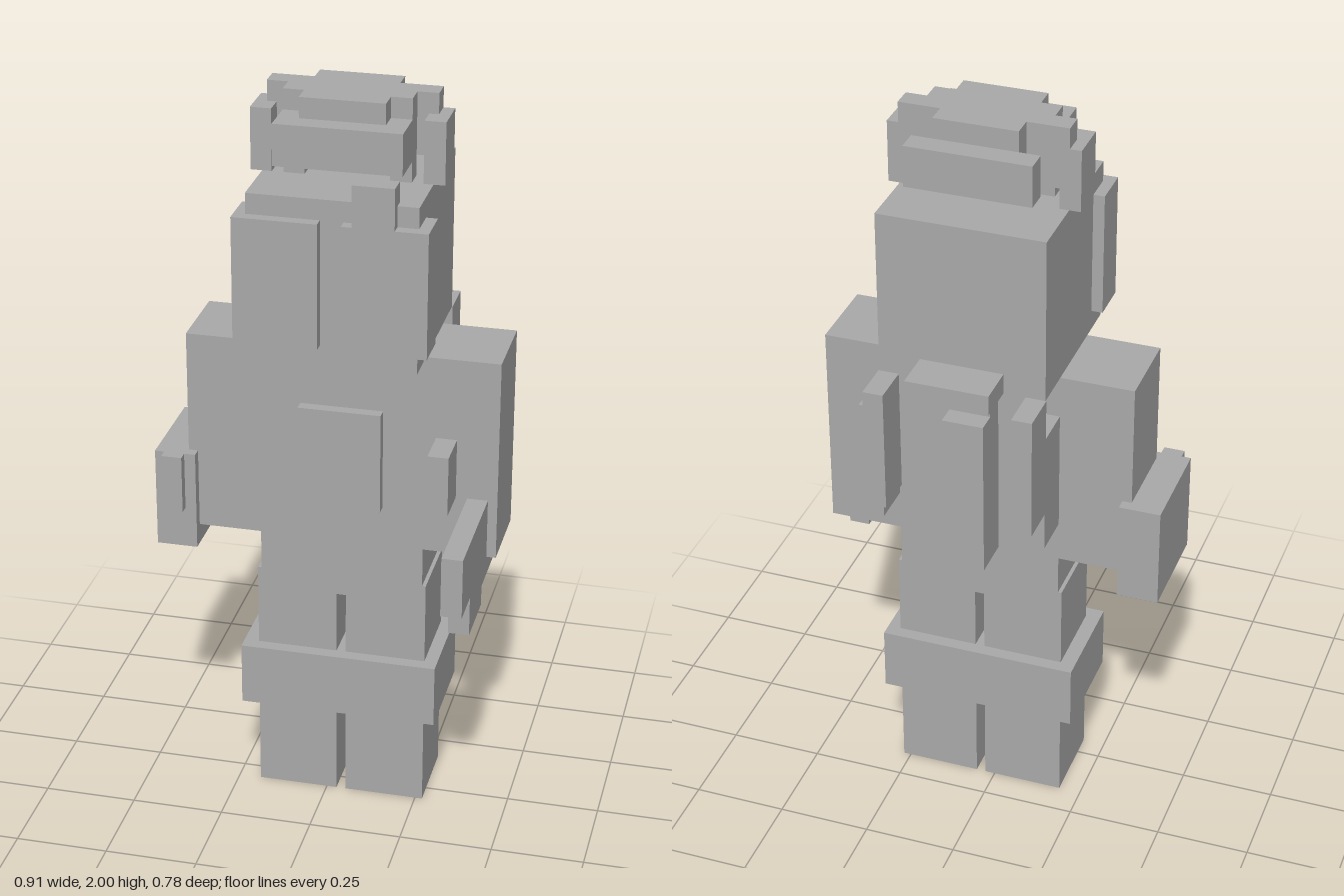
import * as THREE from 'three';

export function createModel() {
  const model = new THREE.Group();
  const grey = new THREE.MeshStandardMaterial({ color: 0xaaaaaa });
  grey.name = 'grey';
  const axis = 0.04; // the body's own mirror plane

  // Box from its limits along x, y and z
  function block(name, x0, x1, y0, y1, z0, z1) {
    const mesh = new THREE.Mesh(new THREE.BoxGeometry(x1 - x0, y1 - y0, z1 - z0), grey);
    mesh.position.set((x0 + x1) / 2, (y0 + y1) / 2, (z0 + z1) / 2);
    mesh.name = name;
    model.add(mesh);
  }
  // Mirrored pair about the body axis; near and far are distances from it
  function pair(name, near, far, ...yz) {
    block(name + 'Left', axis + near, axis + far, ...yz);
    block(name + 'Right', axis - far, axis - near, ...yz);
  }

  // Body
  pair('leg', 0.0125, 0.23, 0, 0.67, -0.165, 0.055);
  block('legBand', -0.23, 0.305, 0.265, 0.44, -0.2, 0.09);
  block('torso', -0.18, 0.26, 0.615, 1.335, -0.165, 0.055);
  pair('arm', 0.22, 0.415, 0.78, 1.335, -0.165, 0.055);
  block('chestPlate', -0.07, 0.15, 0.89, 1.17, 0.055, 0.085);
  block('shoulderPouch', 0.29, 0.345, 0.945, 1.11, 0.055, 0.165);

  // Right wrist device
  block('wristBlock', -0.46, -0.35, 0.725, 1.0, -0.195, 0.083);
  block('wristButton', -0.435, -0.38, 0.84, 1.0, 0.083, 0.11);

  // Hand tool
  block('toolBarrel', 0.375, 0.43, 0.78, 0.945, -0.1, 0.39);
  block('toolGrip', 0.375, 0.43, 0.67, 0.78, 0.115, 0.28);
  block('toolUnderside', 0.375, 0.43, 0.725, 0.78, -0.11, 0.115);

  // Head and face plates
  block('head', -0.18, 0.26, 1.335, 1.78, -0.28, 0.165);
  pair('facePlate', 0.03, 0.25, 1.39, 1.725, 0.085, 0.195);
  block('facePlateTab', 0.097, 0.205, 1.725, 1.835, 0.14, 0.195);

  // Floating headpiece
  block('headpieceCore', -0.07, 0.15, 1.835, 2, -0.165, 0.055);
  block('headpieceFront', -0.125, 0.205, 1.835, 1.945, 0, 0.11);
  block('headpieceBack', -0.125, 0.205, 1.835, 1.945, -0.225, -0.165);
  block('headpieceTop', -0.125, 0.205, 1.945, 2, -0.11, 0);
  block('headpieceCrossbar', -0.18, 0.26, 1.835, 2, -0.11, -0.055);
  pair('headpieceEar', 0.195, 0.25, 1.78, 1.945, -0.11, 0);
  pair('headpieceLeg', 0.11, 0.165, 1.78, 1.945, -0.055, 0);

  // Hanging strands at the back
  block('backTop', -0.07, 0.15, 1.335, 1.39, -0.39, -0.28);
  pair('backStrand', 0.168, 0.222, 1.0, 1.335, -0.39, -0.28);
  block('middleStrand', -0.015, 0.095, 0.78, 1.22, -0.28, -0.165);
  block('middleStrandRoot', -0.015, 0.095, 1.22, 1.28, -0.225, -0.165);
  block('lowerStrandLeft', 0.26, 0.32, 0.89, 1.22, -0.28, -0.165);
  block('lowerStrandRight', -0.18, -0.125, 0.89, 1.22, -0.28, -0.165);

  return model;
}
